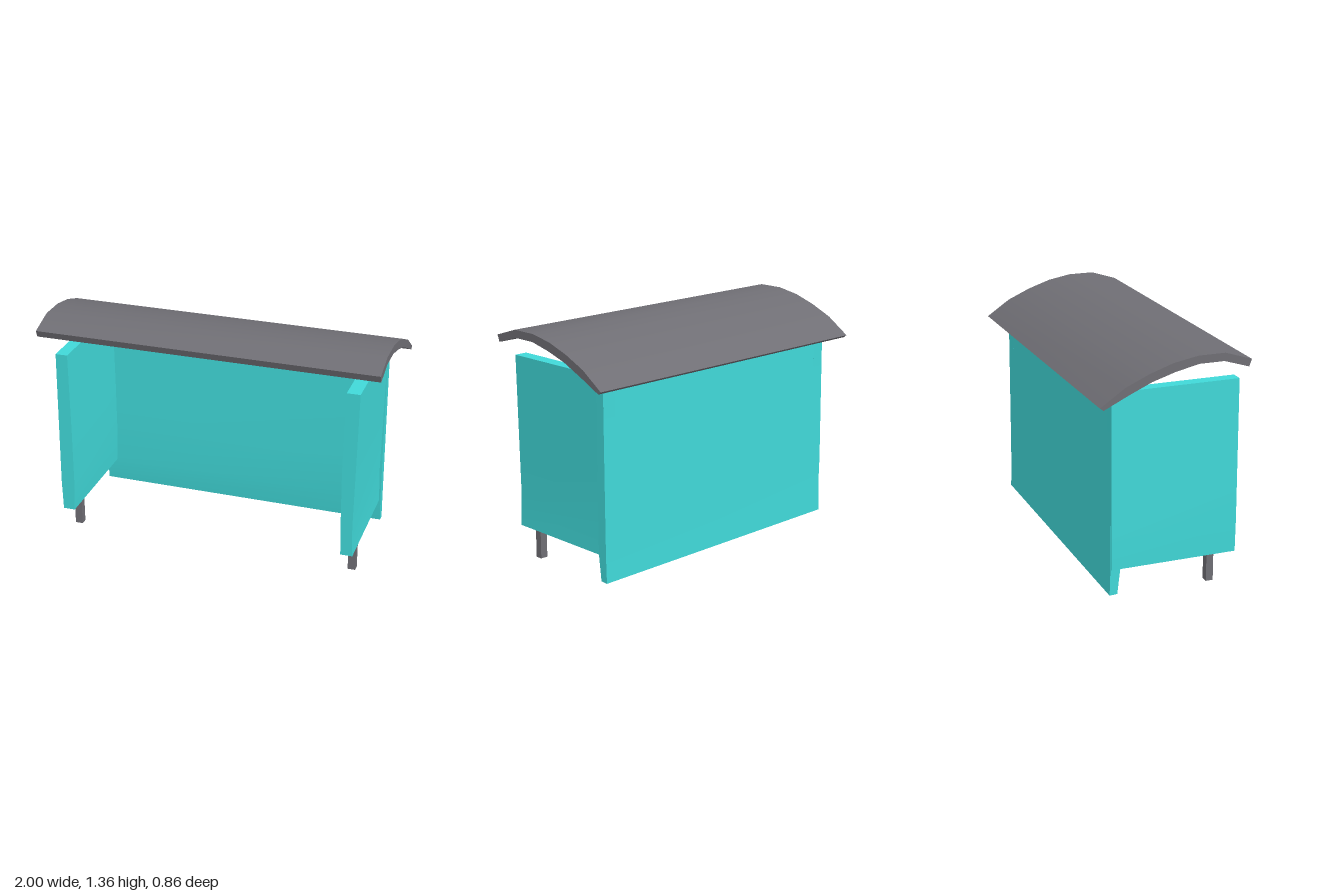
import * as THREE from 'three';
import { toCreasedNormals } from 'three/addons/utils/BufferGeometryUtils.js';

const teal = new THREE.MeshStandardMaterial({ color: 0x40d8d8 });
const grey = new THREE.MeshStandardMaterial({ color: 0x6f6e74 });

// Extrude a closed outline straight from 0 to depth, smoothing only gentle bends
function extrude(points, depth) {
  const shape = new THREE.Shape(points.map(([a, b]) => new THREE.Vector2(a, b)));
  const geometry = new THREE.ExtrudeGeometry(shape, { depth, bevelEnabled: false });
  return toCreasedNormals(geometry, 0.6);
}

// Outline given as (z, y), extruded along x and centred on x = 0
function extrudeAcross(points, width) {
  return extrude(points, width).translate(0, 0, -width / 2).rotateY(-Math.PI / 2);
}

export function createModel() {
  const group = new THREE.Group();
  const add = (name, geometry, material) => {
    const mesh = new THREE.Mesh(geometry, material);
    mesh.name = name;
    group.add(mesh);
    return mesh;
  };

  // Curved roof sheet, sloping down towards the back
  add('roof', extrudeAcross([
    [0.43, 1.31], [0.275, 1.36], [0.12, 1.36], [-0.02, 1.335],
    [-0.155, 1.29], [-0.29, 1.23], [-0.43, 1.135],
    [-0.41, 1.12], [-0.275, 1.185], [-0.14, 1.245], [-0.01, 1.285],
    [0.125, 1.315], [0.27, 1.315], [0.415, 1.27],
  ], 2), grey);

  // Back wall, thinner at its foot
  add('backWall', extrudeAcross([
    [-0.335, 0.015], [-0.29, 0.018], [-0.272, 0.17], [-0.27, 0.5],
    [-0.27, 1.185], [-0.325, 1.175], [-0.328, 0.5], [-0.33, 0.17],
  ], 1.785), teal);

  // Side walls, very slightly bowed
  const sides = [
    ['leftWall', [[0.815, 0.165], [0.885, 0.165], [0.878, 0.35], [0.884, 0.7],
      [0.892, 1.18], [0.815, 1.18], [0.806, 0.7], [0.81, 0.35]]],
    ['rightWall', [[-0.895, 0.165], [-0.825, 0.165], [-0.818, 0.35], [-0.818, 0.7],
      [-0.822, 1.175], [-0.893, 1.175], [-0.897, 0.7], [-0.9, 0.35]]],
  ];
  for (const [name, outline] of sides) {
    add(name, extrude(outline, 0.74).translate(0, 0, -0.326), teal);
  }

  // Front legs under the side walls
  for (const [name, side] of [['leftLeg', 1], ['rightLeg', -1]]) {
    add(name, new THREE.BoxGeometry(0.045, 0.18, 0.042), grey)
      .position.set(side * 0.856, 0.09, 0.27);
  }
  return group;
}
